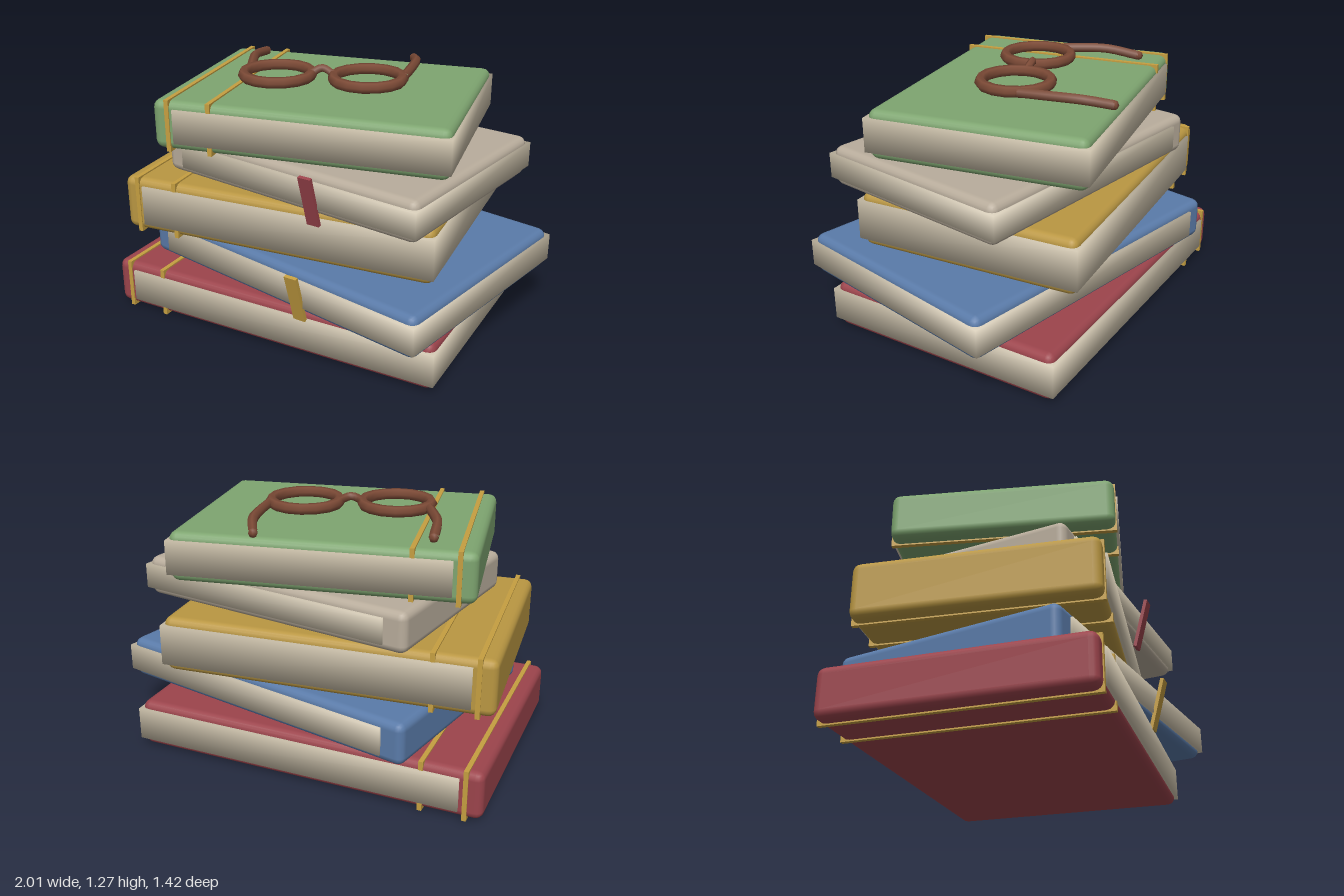
import * as THREE from 'three';
import { RoundedBoxGeometry } from 'three/addons/geometries/RoundedBoxGeometry.js';

const material = (name, color) => {
  const m = new THREE.MeshStandardMaterial({ color });
  m.name = name;
  return m;
};

export function createModel() {
  const red = material('red cloth', 0x9c444c);
  const blue = material('blue cloth', 0x5a7ba9);
  const yellow = material('ochre cloth', 0xba9742);
  const cream = material('cream cloth', 0xb9ad9c);
  const green = material('green cloth', 0x7ea570);
  const paper = material('paper', 0xcabfa9);
  const gold = material('gold trim', 0xc69f41);
  const brown = material('brown frame', 0x7c4a36);

  const model = new THREE.Group();
  model.name = 'bookStackWithGlasses';

  const add = (parent, name, geometry, mat, x = 0, y = 0, z = 0) => {
    const mesh = new THREE.Mesh(geometry, mat);
    mesh.name = name;
    mesh.position.set(x, y, z);
    parent.add(mesh);
    return mesh;
  };

  // Box whose normals point out through the corners, for a soft paper edge
  const softBox = (w, h, d) => {
    const g = new THREE.BoxGeometry(w, h, d);
    const p = g.attributes.position;
    const k = 1 / Math.sqrt(3);
    for (let i = 0; i < p.count; i++) {
      g.attributes.normal.setXYZ(i, Math.sign(p.getX(i)) * k, Math.sign(p.getY(i)) * k, Math.sign(p.getZ(i)) * k);
    }
    return g;
  };

  // Books: spine at local -x, pages showing on the other three sides
  const books = [
    { name: 'redBook', mat: red, w: 1.78, d: 1.238, y0: 0.008, y1: 0.25, x: -0.072, z: 0, turn: 0.082, bands: true },
    { name: 'blueBook', mat: blue, w: 1.67, d: 1.165, y0: 0.25, y1: 0.462, x: 0.09, z: 0.02, turn: -0.125 },
    { name: 'ochreBook', mat: yellow, w: 1.615, d: 1.12, y0: 0.462, y1: 0.74, x: -0.11, z: 0, turn: 0.17, bands: true },
    { name: 'creamBook', mat: cream, w: 1.47, d: 1.035, y0: 0.736, y1: 0.936, x: 0.08, z: 0.02, turn: -0.07 },
    { name: 'greenBook', mat: green, w: 1.425, d: 1.05, y0: 0.936, y1: 1.177, x: -0.029, z: 0, turn: 0.262, bands: true },
  ];
  for (const b of books) {
    const book = new THREE.Group();
    book.name = b.name;
    book.position.set(b.x, (b.y0 + b.y1) / 2, b.z);
    book.rotation.y = b.turn;
    model.add(book);

    const h = b.y1 - b.y0;
    add(book, 'cover', new RoundedBoxGeometry(b.w, h, b.d, 2, 0.04), b.mat);

    const start = -b.w / 2 + 0.11, end = b.w / 2 + 0.008;
    add(book, 'pages', softBox(end - start, h - 0.075, b.d + 0.025), paper, (start + end) / 2);

    if (b.bands) {
      for (const offset of [0.08, 0.29]) {
        add(book, 'spineBand', new THREE.BoxGeometry(0.022, h + 0.014, b.d + 0.01), gold, -b.w / 2 + offset);
      }
    }
  }

  // Bookmark ribbons hanging over the front edges
  const ribbon = (name, mat, x, y, z) => {
    const mesh = add(model, name, new THREE.BoxGeometry(0.066, 0.265, 0.018), mat, x, y, z);
    mesh.rotation.x = 0.27;
  };
  ribbon('goldRibbon', gold, 0.195, 0.335, 0.645);
  ribbon('redRibbon', red, 0.232, 0.81, 0.577);

  // Folded glasses lying on the top book
  const glasses = new THREE.Group();
  glasses.name = 'glasses';
  model.add(glasses);
  const lensY = 1.22;
  for (const [x, z] of [[-0.257, 0.128], [0.16, -0.043]]) {
    const rim = add(glasses, 'rim', new THREE.TorusGeometry(0.17, 0.028, 6, 16), brown, x, lensY, z);
    rim.rotation.set(-Math.PI / 2, 0, 0.39);
  }

  // Round rod through points, closed with a ball at each end
  const rod = (name, points, radius) => {
    const v = points.map((p) => new THREE.Vector3(...p));
    const curve = new THREE.CatmullRomCurve3(v);
    add(glasses, name, new THREE.TubeGeometry(curve, 10, radius, 6), brown);
    for (const p of [v[0], v[v.length - 1]]) {
      add(glasses, name + 'End', new THREE.SphereGeometry(radius, 6, 4), brown, p.x, p.y, p.z);
    }
  };
  rod('bridge', [[-0.11, 1.222, 0.06], [-0.062, 1.252, 0.022], [0.005, 1.222, 0.012]], 0.02);
  rod('rightTemple', [[-0.435, 1.22, 0.11], [-0.5, 1.224, 0.01], [-0.565, 1.222, -0.1], [-0.615, 1.2, -0.262]], 0.024);
  rod('leftTemple', [[0.295, 1.22, -0.16], [0.255, 1.222, -0.31], [0.205, 1.22, -0.455], [0.13, 1.198, -0.57]], 0.024);

  return model;
}
